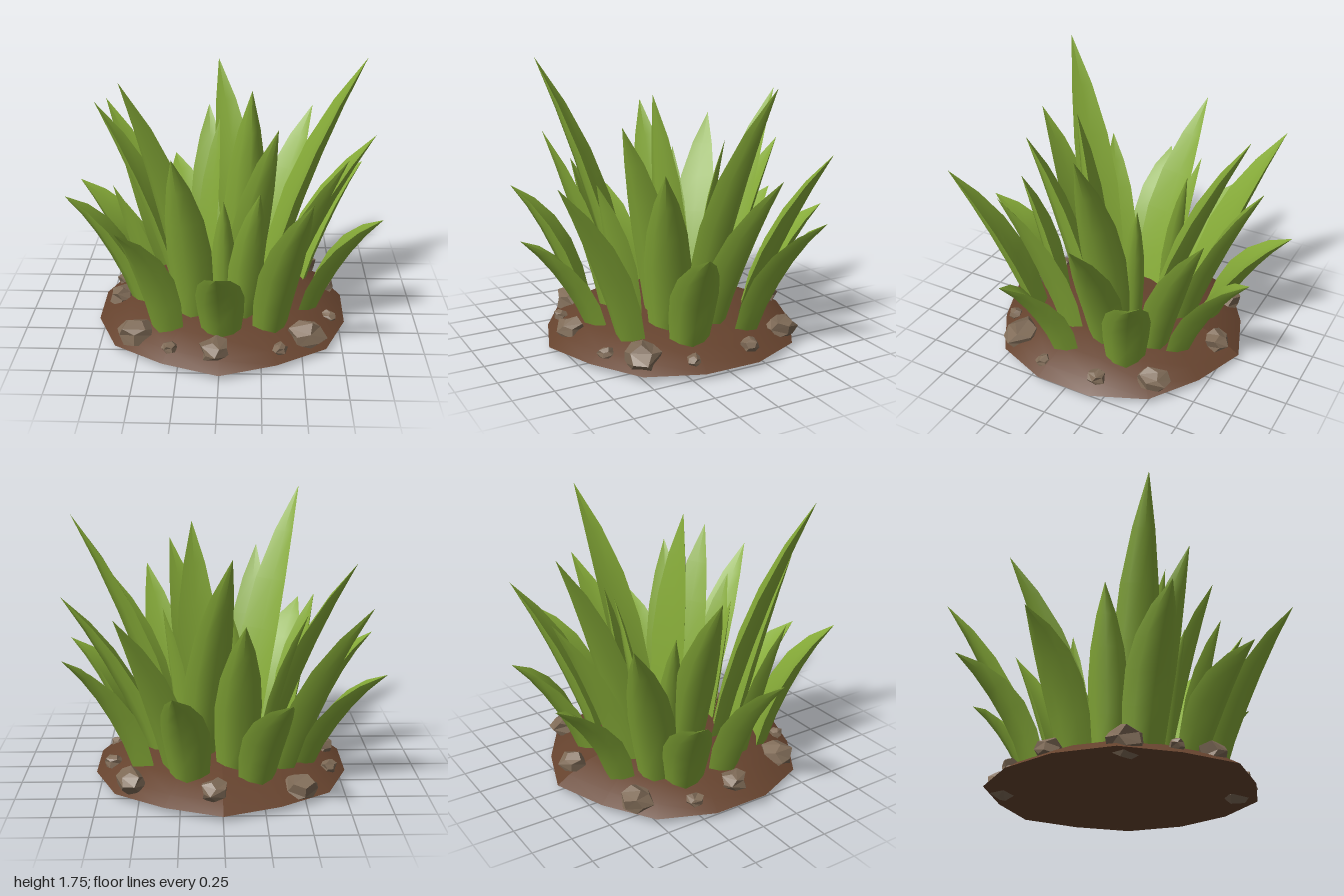
import * as THREE from 'three';

const leafMat = new THREE.MeshStandardMaterial({ color: 0x86ab38, side: THREE.DoubleSide });
leafMat.name = 'leaf green';
const soilMat = new THREE.MeshStandardMaterial({ color: 0x66432e });
soilMat.name = 'soil brown';
const rockMat = new THREE.MeshStandardMaterial({ color: 0x7f6b57, flatShading: true });
rockMat.name = 'stone';

// Rings of blades. Each blade is its tip (x, y, z) and an optional sideways shift of its root;
// the root lies on the line from the centre to the tip, at the ring's fraction of the way.
const RINGS = [
  { name: 'tallBlade', root: 0.35, width: 0.14, tips: [
    [-0.54, 1.76, 0.67], [0.89, 1.69, -0.19, -0.02], [-0.05, 1.53, -0.8, 0.14],
    [0.18, 1.59, 0.21, 0.08], [0.33, 1.44, 0.48, 0.03], [-0.82, 1.39, -0.2]] },
  { name: 'middleBlade', root: 0.48, width: 0.14, tips: [
    [-0.83, 1.25, -0.76], [0.74, 1.24, 0.42], [0.97, 1.19, -0.19, -0.06], [0.6, 1.2, -0.81],
    [-0.12, 1.18, -0.88, -0.03], [-0.26, 1.35, 0.74, -0.05], [0.51, 1.18, 0.95, 0.07]] },
  { name: 'lowBlade', root: 0.54, width: 0.145, tips: [
    [-0.57, 0.95, 0.85, -0.04], [-0.01, 0.75, 0.99, 0.01], [0.98, 0.81, 0.28, 0.02],
    [0.93, 0.89, -0.53], [0.28, 0.8, -0.97, 0.05], [-0.37, 0.77, -1, -0.02],
    [-0.98, 0.77, -0.45], [-0.98, 0.88, 0.13]] },
  { name: 'slimBlade', root: 0.62, width: 0.115, tips: [
    [-0.63, 1.07, 0.41, -0.03], [0.23, 1.1, 0.6]] },
  { name: 'thinShoot', root: 0.65, width: 0.075, tips: [
    [-0.52, 1.1, -0.3, 0.08], [0.35, 1.14, -0.28], [0.02, 1, 0.48], [-0.03, 1.22, -0.42, -0.1]] },
];

// Position along the blade and its relative width there
const ROWS = [[0, 0.82], [0.2, 0.96], [0.4, 1], [0.6, 0.84], [0.8, 0.5], [1, 0]];
// Cross-sections: bulging outer face, shallow trough on the inner face
const OUTER = [[-1, 0], [-0.62, 0.6], [0, 1], [0.62, 0.6], [1, 0]];
const INNER = [[1, 0], [0, 0.2], [-1, 0]];

function bladeGeometry([tx, ty, tz, shift = 0], root, w) {
  const tip = new THREE.Vector3(tx, ty, tz);
  const base = new THREE.Vector3(tx * root + shift, 0, tz * root);
  base.y = 0.21 - 0.13 * base.length();
  const bend = base.clone().lerp(tip, 0.28);
  bend.y = base.y + (ty - base.y) * (ty < 1 ? 0.68 : 0.54);
  const path = new THREE.QuadraticBezierCurve3(base, bend, tip);
  const side = new THREE.Vector3(tz - base.z, 0, base.x - tx).normalize();
  const pos = [], index = [];
  for (const section of [OUTER, INNER]) {
    const start = pos.length / 3, n = section.length;
    ROWS.forEach(([t, k], r) => {
      const p = path.getPoint(t);
      const out = side.clone().cross(path.getTangent(t));
      for (const [u, v] of section) {
        const q = p.clone().addScaledVector(side, u * w * k)
          .addScaledVector(out, (v - 0.45) * w * 0.75 * k);
        pos.push(q.x, q.y, q.z);
      }
      if (r === 0) return;
      for (let j = 0; j < n - 1; j++) {
        const a = start + (r - 1) * n + j, d = a + n;
        index.push(a, a + 1, d + 1, a, d + 1, d);
      }
    });
  }
  const g = new THREE.BufferGeometry();
  g.setAttribute('position', new THREE.Float32BufferAttribute(pos, 3));
  g.setIndex(index);
  g.computeVertexNormals();
  return g;
}

// Low soil mound with an uneven rim
function moundGeometry() {
  const profile = [[0, 0.05], [0.82, 0.05], [0.82, 0.05], [0.74, 0.1], [0.6, 0.165], [0.4, 0.21], [0, 0.24]]
    .map(([r, y]) => new THREE.Vector2(r, y));
  const sides = 14;
  const g = new THREE.LatheGeometry(profile, sides, Math.PI);
  const p = g.attributes.position;
  for (let i = 0; i < p.count; i++) {
    const column = Math.floor(i / profile.length) % sides;
    const k = 0.99 + 0.03 * Math.cos(column * 2.7);
    p.setX(i, p.getX(i) * k);
    p.setZ(i, p.getZ(i) * k);
  }
  g.computeVertexNormals();
  return g;
}

// Rocks: x, y, z, radius
const ROCKS = [
  [-0.52, 0.12, 0.47, 0.12], [-0.03, 0.13, 0.68, 0.1], [0.52, 0.11, 0.46, 0.125],
  [0.36, 0.11, 0.62, 0.05], [-0.66, 0.14, 0.03, 0.09], [-0.47, 0.1, -0.55, 0.11],
  [0.55, 0.13, -0.5, 0.1], [0.68, 0.12, -0.18, 0.065], [0.05, 0.15, -0.7, 0.09],
  [0.68, 0.1, 0.2, 0.05], [-0.3, 0.12, 0.64, 0.05], [-0.67, 0.11, -0.26, 0.06],
];

function rockGeometry(seed) {
  const g = new THREE.DodecahedronGeometry(1, 0);
  const p = g.attributes.position;
  for (let i = 0; i < p.count; i++) {
    const x = p.getX(i), y = p.getY(i), z = p.getZ(i);
    const k = 1 + 0.13 * Math.sin(x * 3.1 + y * 4.7 + z * 2.3 + seed * 1.9);
    p.setXYZ(i, x * k, y * k, z * k);
  }
  g.computeVertexNormals();
  return g;
}

export function createModel() {
  const model = new THREE.Group();
  model.name = 'grassClump';

  const mound = new THREE.Mesh(moundGeometry(), soilMat);
  mound.name = 'soilMound';
  model.add(mound);

  const grass = new THREE.Group();
  grass.name = 'grassBlades';
  for (const { name, root, width, tips } of RINGS) {
    tips.forEach((tip, i) => {
      const blade = new THREE.Mesh(bladeGeometry(tip, root, width), leafMat);
      blade.name = `${name}${i + 1}`;
      grass.add(blade);
    });
  }
  model.add(grass);

  const rocks = new THREE.Group();
  rocks.name = 'rocks';
  ROCKS.forEach(([x, y, z, r], i) => {
    const rock = new THREE.Mesh(rockGeometry(i), rockMat);
    rock.name = `rock${i + 1}`;
    rock.position.set(x, y, z);
    rock.scale.set(r, r * 0.78, r * 0.9);
    rock.rotation.y = i * 1.3;
    rocks.add(rock);
  });
  model.add(rocks);
  return model;
}
